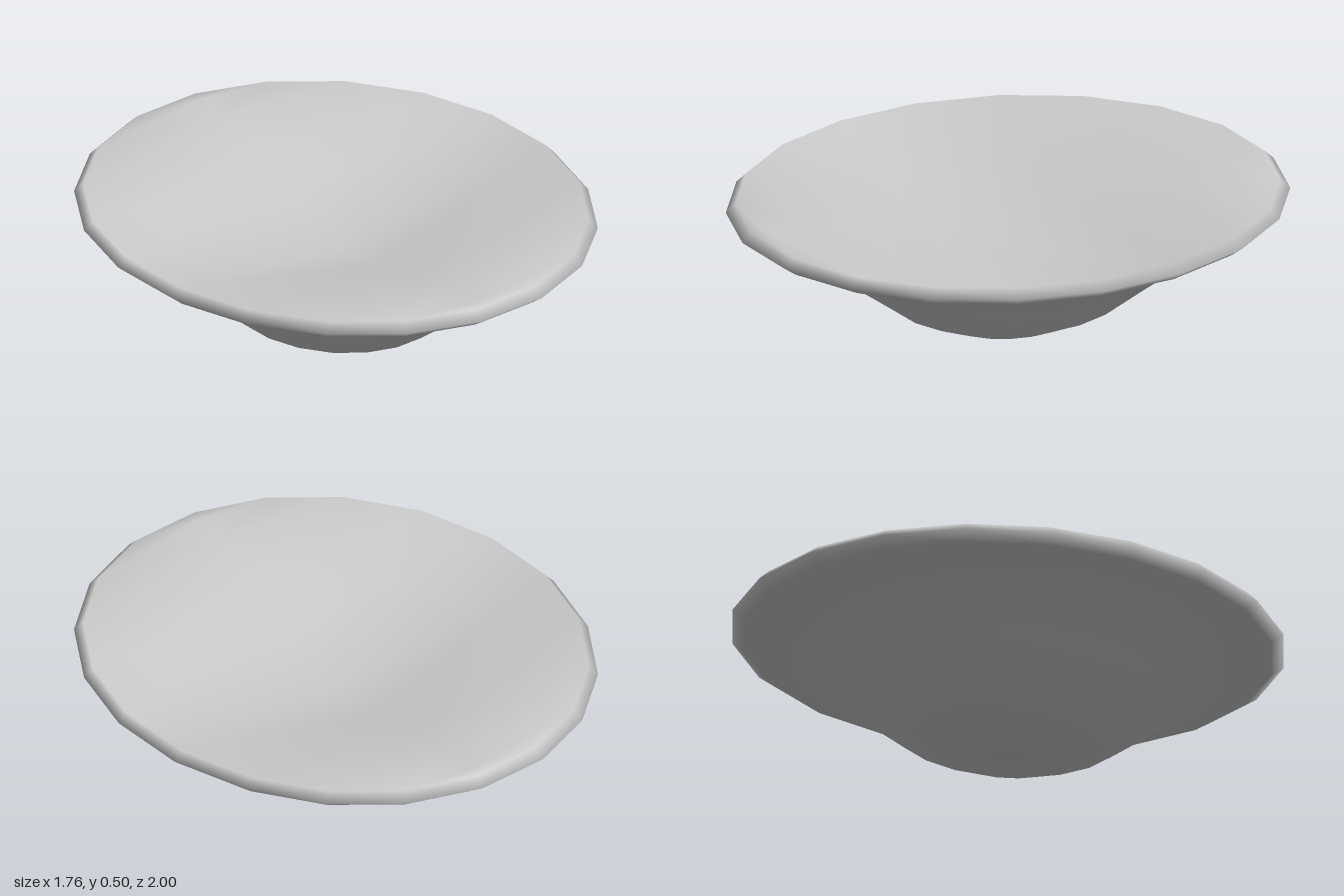
import * as THREE from 'three';
import { mergeGeometries, mergeVertices } from 'three/addons/utils/BufferGeometryUtils.js';

const SIDES = 20;
const OVAL = 0.88; // width relative to length
const RIM = 0.965;
const TOP = 0.5;

// Underside and flared lip, revolved and squeezed into an oval
function underside() {
  const profile = [
    [0, 0], [0.245, 0.035], [0.415, 0.11], [0.595, 0.245],
    [0.78, 0.38], [0.955, 0.435], [1, 0.467], [RIM, TOP],
  ].map(([r, y]) => new THREE.Vector2(r, y));
  const geometry = new THREE.LatheGeometry(profile, SIDES);
  geometry.scale(OVAL, 1, 1);
  geometry.deleteAttribute('normal');
  geometry.deleteAttribute('uv');
  return geometry;
}

// Shallow hollow: cross strips from rim to rim that sag along the middle line
function hollow() {
  const sag = [0, 0, 0.005, 0.035, 0.12, 0.19, 0.12, 0.035, 0.005, 0, 0];
  const positions = [];
  const index = [];
  sag.forEach((depth, k) => {
    const angle = (k / (SIDES / 2)) * Math.PI;
    const x = OVAL * RIM * Math.sin(angle);
    const z = RIM * Math.cos(angle);
    positions.push(x, TOP, z, 0, TOP - depth, z, -x, TOP, z);
    if (k === 0) return;
    const b = k * 3;
    const a = b - 3;
    for (const side of [0, 1]) {
      const [p, q, r, s] = [a + side, b + side, b + side + 1, a + side + 1];
      index.push(p, q, s, q, r, s);
    }
  });
  const geometry = new THREE.BufferGeometry();
  geometry.setAttribute('position', new THREE.Float32BufferAttribute(positions, 3));
  geometry.setIndex(index);
  return geometry;
}

export function createModel() {
  const group = new THREE.Group();
  group.name = 'ovalDish';

  // Closed body with smooth shading across the lip
  const geometry = mergeVertices(mergeGeometries([underside(), hollow()]), 1e-3);
  geometry.computeVertexNormals();
  const material = new THREE.MeshStandardMaterial({ color: 0xcccccc, side: THREE.DoubleSide });
  const body = new THREE.Mesh(geometry, material);
  body.name = 'dishBody';
  group.add(body);

  return group;
}
